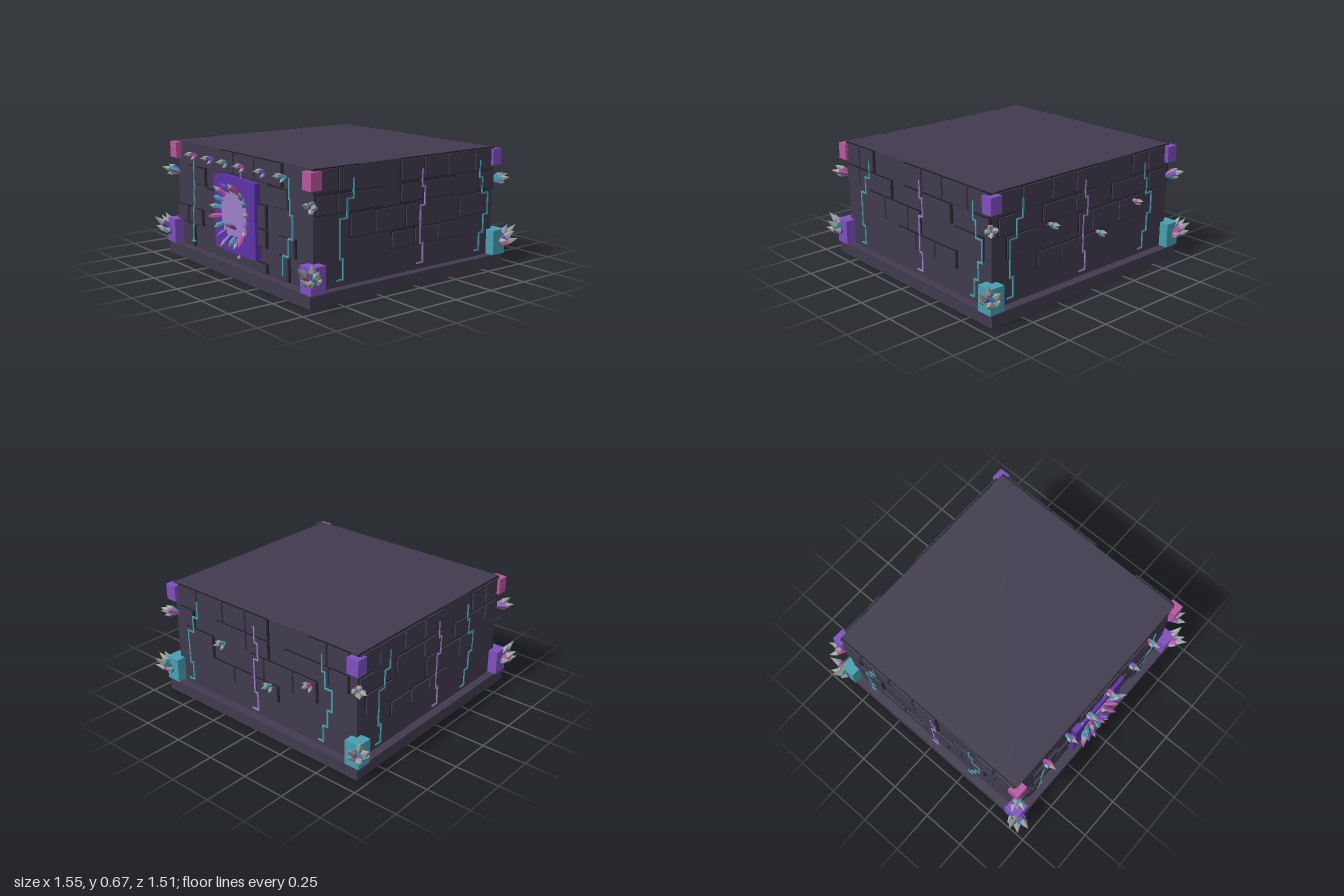
import * as THREE from 'three';

const mat = (name, color) => Object.assign(new THREE.MeshStandardMaterial({ color }), { name });
const M = {
  stone: mat('dark stone', 0x413b4e),
  seam: mat('brick seam', 0x25212d),
  deep: mat('deep purple', 0x5d31a8),
  glow: mat('portal lavender', 0x9b80c6),
  purple: mat('purple crystal', 0x7d4fc0),
  teal: mat('teal crystal', 0x479fae),
  pink: mat('pink crystal', 0xb9569f),
  grey: mat('grey crystal', 0x99a3a1),
};
const HALF_X = 0.65, HALF_Z = 0.615;
const PALETTE = [M.teal, M.pink, M.purple];

function add(parent, name, geo, material, x = 0, y = 0, z = 0) {
  const m = new THREE.Mesh(geo, material);
  m.name = name;
  m.position.set(x, y, z);
  parent.add(m);
  return m;
}
const box = (w, h, d) => new THREE.BoxGeometry(w, h, d);
function faceted(geo) {
  const g = geo.toNonIndexed();
  g.computeVertexNormals();
  return g;
}

// Five-sided crystal: widening shaft and pointed tip, growing along dir
function crystal(parent, pos, dir, len, r, shaft, tip) {
  const g = new THREE.Group();
  g.name = 'crystal';
  const s = len * 0.6, t = len - s;
  add(g, 'crystalShaft', faceted(new THREE.CylinderGeometry(r, r * 0.7, s, 5)), shaft, 0, s / 2, 0);
  add(g, 'crystalTip', faceted(new THREE.ConeGeometry(r, t, 5)), tip, 0, s + t / 2, 0);
  g.position.set(...pos);
  g.quaternion.setFromUnitVectors(new THREE.Vector3(0, 1, 0), new THREE.Vector3(...dir).normalize());
  parent.add(g);
}

// Small spray of three crystals leaning out of a wall
function sprig(wall, x, y, k) {
  const g = new THREE.Group();
  g.name = 'crystalSprig';
  crystal(g, [x, y, 0], [0, 0.15, 1], 0.085, 0.013, PALETTE[k % 3], M.grey);
  crystal(g, [x, y, 0], [-0.45, 0.35, 1], 0.06, 0.011, PALETTE[(k + 1) % 3], M.grey);
  crystal(g, [x, y, 0], [0.4, -0.4, 1], 0.06, 0.011, PALETTE[k % 3], M.grey);
  wall.add(g);
}

// Raised brick with a dark seam around it: [x0, x1, y0, y1]
function brick(wall, [x0, x1, y0, y1]) {
  const x = (x0 + x1) / 2, y = (y0 + y1) / 2, w = x1 - x0, h = y1 - y0;
  add(wall, 'brickSeam', box(w, h, 0.008), M.seam, x, y, 0.004);
  add(wall, 'brick', box(w - 0.012, h - 0.012, 0.016), M.stone, x, y, 0.008);
}

// Stepped glowing crack: points joined by axis-aligned strips
function crack(wall, pts, material) {
  const W = 0.008;
  for (let i = 1; i < pts.length; i++) {
    const [ax, ay] = pts[i - 1], [bx, by] = pts[i];
    add(wall, 'crack', box(W, Math.abs(ay - by) + W, 0.006), material, ax, (ay + by) / 2, 0.016);
    if (ax !== bx) add(wall, 'crack', box(Math.abs(ax - bx) + W, W, 0.006), material, (ax + bx) / 2, by, 0.016);
  }
}

const ROWS = [[0.545, 0.668], [0.437, 0.54], [0.305, 0.432], [0.205, 0.3], [0.072, 0.2]];
const rowBricks = (row, spans) => spans.map(([a, b]) => [a, b, ...ROWS[row]]);
const FRONT_BRICKS = [
  ...rowBricks(0, [[-0.16, -0.03], [-0.03, 0.17], [0.17, 0.41]]),
  ...rowBricks(1, [[-0.53, -0.33], [0.27, 0.465]]),
  ...rowBricks(2, [[-0.33, -0.17], [0.17, 0.27]]),
  ...rowBricks(3, [[-0.65, -0.53], [-0.52, -0.37], [0.17, 0.27], [0.375, 0.52]]),
  ...rowBricks(4, [[-0.56, -0.465], [0.375, 0.465]]),
  [0.107, 0.27, 0.072, 0.125],
];
const SIDE_BRICKS = [
  ...rowBricks(0, [[-0.61, -0.47], [-0.47, -0.34], [-0.07, 0.09], [0.09, 0.26], [0.26, 0.46], [0.46, 0.615]]),
  ...rowBricks(1, [[-0.605, -0.48], [-0.48, -0.18], [-0.07, 0.09], [0.09, 0.325], [0.5, 0.615]]),
  ...rowBricks(2, [[-0.4, -0.24], [-0.24, -0.035], [-0.035, 0.065], [0.35, 0.565]]),
  ...rowBricks(3, [[-0.13, 0.03], [0.03, 0.19], [0.19, 0.36]]),
];
const flip = (list) => list.map(([a, b, c, d]) => [-b, -a, c, d]);

const CRACK_LEFT = [[-0.38, 0.6], [-0.42, 0.505], [-0.465, 0.41], [-0.445, 0.21], [-0.48, 0.105]];
const CRACK_MID = [[0.075, 0.6], [0.095, 0.51], [0.065, 0.41], [0.085, 0.21], [0.045, 0.105]];
const CRACK_RIGHT = [[0.5, 0.6], [0.52, 0.51], [0.565, 0.42], [0.535, 0.3], [0.505, 0.2], [0.475, 0.105]];
const shift = (pts, dx) => pts.map(([x, y]) => [x + dx, y]);

function makeWall(name, angle, offset, bricks, cracks) {
  const wall = new THREE.Group();
  wall.name = name;
  wall.rotation.y = angle;
  wall.position.set(Math.sin(angle) * offset, 0, Math.cos(angle) * offset);
  bricks.forEach((b) => brick(wall, b));
  cracks.forEach((c, i) => crack(wall, c, i === 1 ? M.glow : M.teal));
  return wall;
}

// Portal: irregular purple slab, stepped glowing centre, ring of crystals
function makePortal() {
  const g = new THREE.Group();
  g.name = 'portal';
  const polygon = (pts) => new THREE.Shape(pts.map(([x, y]) => new THREE.Vector2(x, y)));
  const slab = polygon([[-0.2, -0.2], [-0.13, -0.2], [-0.12, -0.205], [0.195, -0.205], [0.2, -0.1],
    [0.195, 0], [0.2, 0.2], [0.1, 0.2], [0.09, 0.205], [-0.14, 0.205], [-0.15, 0.2], [-0.205, 0.195], [-0.2, 0.05]]);
  add(g, 'portalFrame', new THREE.ExtrudeGeometry(slab, { depth: 0.032, bevelEnabled: false }), M.deep);
  const a = 0.07, b = 0.1, c = 0.12;
  const step = [[c, a], [b, a], [b, b], [a, b], [a, c]];
  const mx = (s, t) => step.map(([x, y]) => [x * s, y * t]);
  const centre = polygon([...mx(1, 1), ...mx(-1, 1).reverse(), ...mx(-1, -1), ...mx(1, -1).reverse()]);
  add(g, 'portalGlow', new THREE.ExtrudeGeometry(centre, { depth: 0.005, bevelEnabled: false }), M.glow, 0, 0.01, 0.032);
  const n = 18;
  for (let i = 0; i < n; i++) {
    const t = (i / n) * Math.PI * 2 + Math.PI / 2, x = Math.cos(t), y = Math.sin(t);
    const shaft = PALETTE[(i * 2 + (i % 4 === 0 ? 1 : 0)) % 3];
    crystal(g, [x * 0.122, y * 0.122 + 0.005, 0.03], [x, y, 0.85], 0.065 + 0.012 * (i % 3), 0.014, shaft, i % 2 ? shaft : M.grey);
  }
  [-0.5, 0, 0.5].forEach((lean, i) =>
    crystal(g, [lean * 0.03, -0.07, 0.03], [lean, 0.6, 0.9], 0.07, 0.011, PALETTE[i], PALETTE[i]));
  g.position.set(0, 0.335, 0);
  return g;
}

// Corner: upper and lower crystal blocks with two crystal clusters
function makeCorner(sx, sz, k) {
  const g = new THREE.Group();
  g.name = (sz > 0 ? 'front' : 'back') + (sx > 0 ? 'Left' : 'Right') + 'Corner';
  add(g, 'upperBlock', box(0.07, 0.09, 0.065), sz > 0 ? M.pink : M.purple, sx * 0.647, 0.612, sz * 0.617);
  add(g, 'lowerBlock', box(0.09, 0.138, 0.09), sz > 0 ? M.purple : M.teal, sx * 0.662, 0.138, sz * 0.625);
  const big = [[1, 0.95, 0.35, 0.15], [0.35, 0.85, 1, 0.16], [1, 0.5, 0.95, 0.13], [0.7, 1.5, 0.5, 0.13], [0.1, 0.5, 0.9, 0.09], [0.9, 0.35, 0.05, 0.09]];
  big.forEach(([x, y, z, len], i) =>
    crystal(g, [sx * 0.67, 0.11 + 0.012 * (i % 2), sz * 0.635], [sx * x, y, sz * z], len, 0.021, PALETTE[(i + k) % 3], M.grey));
  const reach = sx < 0 ? 1 : 0.8;
  const small = [[1, 0.2, 0.5, 0.1], [0.5, 0.35, 1, 0.1], [0.9, -0.2, 0.8, 0.075], [0.8, 0.6, 0.6, 0.075]];
  small.forEach(([x, y, z, len], i) =>
    crystal(g, [sx * 0.645, 0.48, sz * 0.61], [sx * x * reach, y, sz * z], len * (0.9 + 0.2 * reach), 0.017, PALETTE[(i + k + 1) % 3], M.grey));
  return g;
}

export function createModel() {
  const model = new THREE.Group();
  model.name = 'crystalStoneBlock';
  add(model, 'base', box(1.392, 0.067, 1.335), M.stone, 0, 0.0335, 0);
  add(model, 'body', box(HALF_X * 2, 0.602, HALF_Z * 2), M.stone, 0, 0.366, 0);

  const front = makeWall('frontWall', 0, HALF_Z, FRONT_BRICKS, [
    [[-0.445, 0.6], [-0.45, 0.41], [-0.46, 0.3], [-0.465, 0.2], [-0.45, 0.105], [-0.485, 0.105]],
    [[0.045, 0.6], [0.02, 0.5], [0, 0.11], [0.015, 0.105]],
    [[0.48, 0.6], [0.485, 0.5], [0.505, 0.42], [0.47, 0.3], [0.42, 0.205], [0.42, 0.105]],
  ]);
  front.add(makePortal());
  [-0.44, -0.26, -0.1, 0.065, 0.26, 0.43].forEach((x, i) => sprig(front, x, 0.6, i + 1));

  const sideCracks = [CRACK_LEFT, CRACK_MID, CRACK_RIGHT];
  const left = makeWall('leftWall', Math.PI / 2, HALF_X, SIDE_BRICKS, sideCracks);
  const right = makeWall('rightWall', -Math.PI / 2, HALF_X, flip(SIDE_BRICKS),
    [CRACK_LEFT, shift(CRACK_MID, -0.04), shift(CRACK_RIGHT, -0.2)]);
  const back = makeWall('backWall', Math.PI, HALF_Z, flip(SIDE_BRICKS),
    [shift(CRACK_LEFT, -0.08), shift(CRACK_MID, -0.1), shift(CRACK_RIGHT, -0.06)]);
  [[-0.27, 0.42, 0], [0.08, 0.29, 0], [0.36, 0.4, 1]].forEach(([x, y, k]) => sprig(back, x, y, k));
  model.add(front, left, right, back);

  let k = 0;
  for (const sx of [-1, 1]) for (const sz of [-1, 1]) model.add(makeCorner(sx, sz, k++));
  return model;
}
